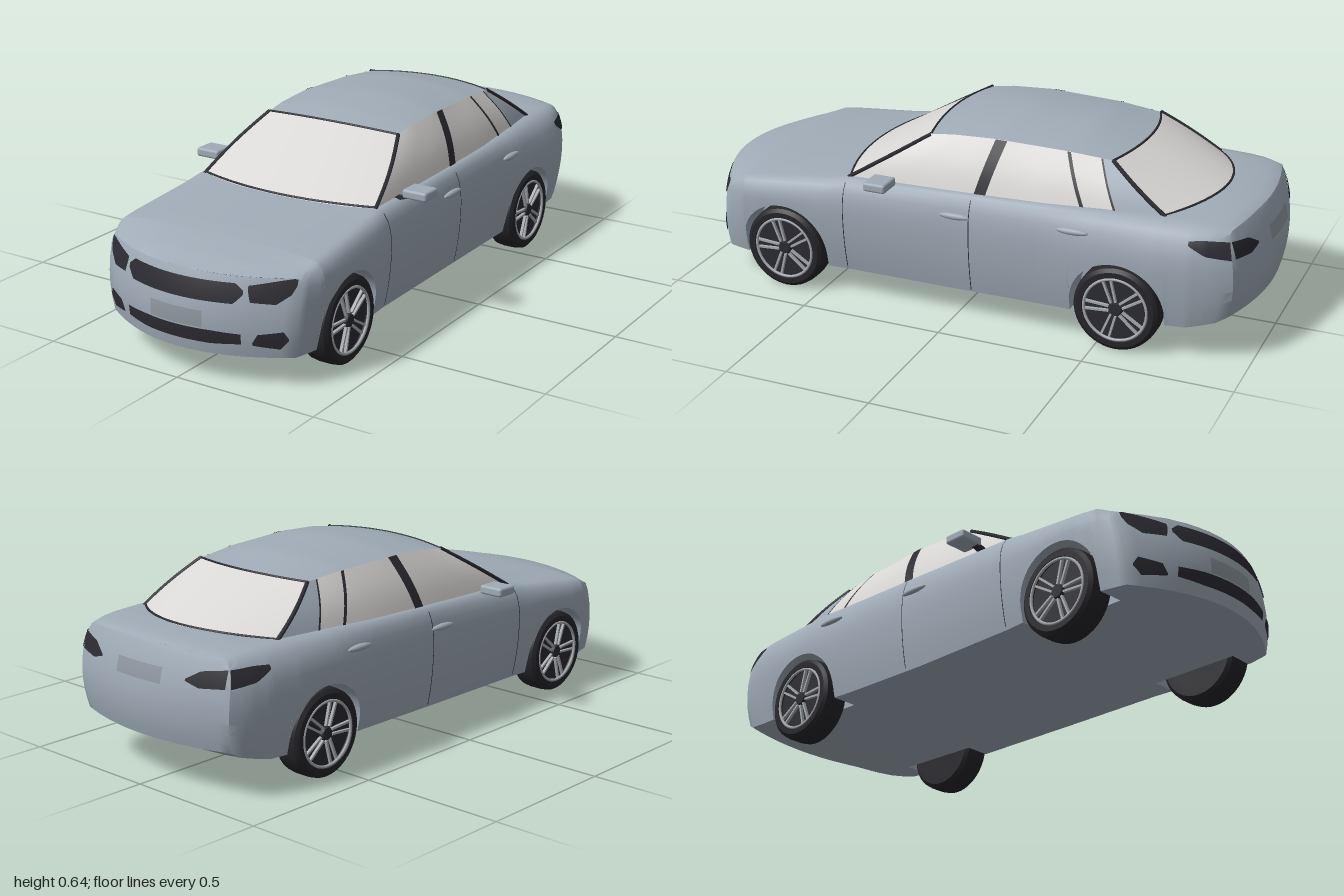
import * as THREE from 'three';
import { mergeGeometries, toCreasedNormals } from 'three/addons/utils/BufferGeometryUtils.js';
import { RoundedBoxGeometry } from 'three/addons/geometries/RoundedBoxGeometry.js';

const mat = (name, color) => {
  const m = new THREE.MeshStandardMaterial({ color, side: THREE.DoubleSide });
  m.name = name;
  return m;
};
const paint = mat('body paint', 0xa0abb7), glass = mat('window glass', 0xd9d7d5);
const dark = mat('dark trim', 0x2b2b32), rubber = mat('tyre rubber', 0x25252a);
const metal = mat('rim metal', 0xa6abb0), plateGrey = mat('plate grey', 0x8f989f);

const lerp = THREE.MathUtils.lerp;
// Linear lookup in rows of [key, ...values], keys rising
function lookup(rows, k) {
  let i = 0;
  while (i < rows.length - 2 && k > rows[i + 1][0]) i++;
  const a = rows[i], b = rows[i + 1];
  const t = THREE.MathUtils.clamp((k - a[0]) / (b[0] - a[0]), 0, 1);
  return a.slice(1).map((v, n) => lerp(v, b[n + 1], t));
}
// Grid surface from fn(i, j) giving a point
function grid(ni, nj, fn) {
  const pos = [], idx = [];
  for (let i = 0; i <= ni; i++) for (let j = 0; j <= nj; j++) pos.push(...fn(i, j));
  for (let i = 0; i < ni; i++) for (let j = 0; j < nj; j++) {
    const a = i * (nj + 1) + j, b = a + nj + 1;
    idx.push(a, a + 1, b, b, a + 1, b + 1);
  }
  const g = new THREE.BufferGeometry();
  g.setAttribute('position', new THREE.Float32BufferAttribute(pos, 3));
  g.setIndex(idx);
  g.computeVertexNormals();
  return g;
}

// Body stations: z, centre top, shoulder x, shoulder y, widest x, sill x, floor y
const stations = [
  [-1, .458, .30, .445, .340, .315, .16], [-.96, .466, .305, .45, .357, .335, .14],
  [-.9, .472, .31, .455, .376, .35, .13], [-.82, .474, .31, .458, .390, .365, .12],
  [-.69, .468, .315, .46, .400, .372, .115], [-.5, .458, .335, .458, .401, .37, .11],
  [-.3, .452, .343, .45, .391, .365, .105], [0, .44, .346, .442, .387, .362, .10],
  [.4, .435, .342, .43, .393, .365, .10], [.47, .432, .345, .418, .397, .37, .10],
  [.72, .410, .355, .392, .403, .372, .10], [.85, .393, .357, .376, .391, .365, .10],
  [.95, .374, .354, .36, .375, .355, .10], [1, .356, .352, .35, .366, .348, .10]];
const WAIST = .32, WELL = .28, ARCH = .16, HUB = .146;
const axles = [.63, -.57];

// Rounds the nose and tail in plan and in profile
function bend(s, x, y) {
  const k = Math.max(0, (Math.abs(s) - .78) / .22);
  const d = s > 0 ? .12 * (x / .35) ** 2 + .03 * ((y - .2) / .15) ** 2
    : .06 * (x / .33) ** 2 + .03 * ((y - .28) / .15) ** 2;
  return [x, y, s - Math.sign(s) * k * d];
}
function sideX(s, y) {
  const [, xS, yS, w, xb] = lookup(stations, s);
  if (y < WAIST) return w - (w - xb) * ((WAIST - y) / .22) ** 2;
  const c = Math.min(1, (y - WAIST) / (yS - WAIST));
  return xS + (w - xS) * Math.sqrt(1 - c * c);
}
// Half cross-section from the top centre to the floor centre
function section(s) {
  const [top, xS, yS, , , floor] = lookup(stations, s);
  let sill = floor;
  for (const z of axles) {
    const d = Math.abs(s - z);
    if (d <= ARCH) sill = HUB + Math.sqrt(ARCH * ARCH - d * d);
  }
  const p = [0, .2, .4, .6, .8, .93, 1].map(t => [xS * t, top + (yS - top) * t ** 2.5]);
  for (const a of [.2, .4, .6, .8, 1]) {
    const y = WAIST + (yS - WAIST) * Math.cos(a * Math.PI / 2);
    p.push([sideX(s, y), y]);
  }
  for (const f of [.2, .4, .6, .8, 1]) {
    const y = lerp(WAIST, sill, f);
    p.push([sideX(s, y), y]);
  }
  p.push([WELL, sill], [WELL, floor], [0, floor]);
  return p;
}
function bodyGeometry() {
  const zs = stations.map(r => r[0]);
  for (let i = 1; i < 40; i++) zs.push(1 - i * .05 + .003);
  for (const z of axles) {
    for (let i = 0; i <= 24; i++) zs.push(z + ARCH * Math.cos(i * Math.PI / 24) * .99999);
    zs.push(z + ARCH * 1.002, z - ARCH * 1.002);
  }
  zs.sort((a, b) => b - a);
  const rings = zs.map(section), n = rings[0].length;
  const shell = grid(zs.length - 1, 2 * n - 2, (i, j) => {
    const [x, y] = rings[i][j < n ? j : 2 * n - 2 - j];
    return bend(zs[i], j < n ? x : -x, y);
  });
  const cap = (s, ring) => grid(n - 1, 20, (i, j) => bend(s, s * ring[i][0] * (1 - j / 10), ring[i][1]));
  const caps = [cap(1, rings[0]), cap(-1, rings[rings.length - 1])];
  return toCreasedNormals(mergeGeometries([shell, ...caps]), .75);
}

// Thin plate on the nose (end 1) or tail (end -1); rows of [x, low y, high y]
function endPlate(end, rows) {
  const x0 = rows[0][0], x1 = rows[rows.length - 1][0];
  return grid(48, 6, (i, j) => {
    const x = lerp(x0, x1, i / 48), [lo, hi] = lookup(rows, x);
    const p = bend(end, x, lerp(lo, hi, j / 6));
    p[2] += end * .004;
    return p;
  });
}
// Thin plate on the flank; rows of [z, low y, high y]
function flankPlate(rows) {
  const z0 = rows[0][0], z1 = rows[rows.length - 1][0];
  return grid(12, 12, (i, j) => {
    const s = lerp(z0, z1, i / 12), [lo, hi] = lookup(rows, s), y = lerp(lo, hi, j / 12);
    const p = bend(s, sideX(s, y), y);
    p[0] += .003;
    return p;
  });
}

// Cabin: belt line and roof rail as z, x, y
const belt = [[-.7, .305, .456], [-.54, .325, .453], [-.3, .34, .447], [0, .343, .438], [.4, .336, .427]];
const rail = [[-.5, .242, .592], [-.35, .254, .605], [-.1, .262, .612], [.05, .26, .604], [.13, .256, .592]];
const crown = [[-.5, .007], [-.35, .026], [-.15, .031], [.0, .025], [.13, .013]];
function pillar(bz, rz, v, out = 0) {
  const [bx, by] = lookup(belt, bz), [rx, ry] = lookup(rail, rz);
  return [lerp(bx, rx, v) + .01 * Math.sin(Math.PI * v) + out, lerp(by, ry, v), lerp(bz, rz, v)];
}
const sidePane = (b0, b1, r0, r1, out) =>
  grid(16, 8, (i, j) => pillar(lerp(b0, b1, i / 16), lerp(r0, r1, i / 16), j / 8, out));
const screenPoint = front => (t, v) => {
  const [x, y, z] = front ? pillar(.4, .13, v) : pillar(-.7, -.5, v), q = 1 - t * t;
  return front ? [x * t, y + lerp(.003, .013, v) * q, z + lerp(.065, .025, v) * q]
    : [x * t, y + lerp(.016, .007, v) * q, z - lerp(.125, .045, v) * q];
};
function trimTube(fn, r) {
  const pts = Array.from({ length: 13 }, (_, i) => new THREE.Vector3(...fn(i / 12)));
  return new THREE.TubeGeometry(new THREE.CatmullRomCurve3(pts), 24, r, 6);
}

function makeWheel() {
  const g = new THREE.Group();
  const add = (geo, m, name) => {
    const o = new THREE.Mesh(geo, m);
    o.name = name;
    g.add(o);
    return o;
  };
  // Axis along y here; the outer face is +y
  const prof = [[0, -.045], [.1, -.05], [.13, -.05], [.142, -.04], [.145, -.02], [.145, .02], [.142, .04], [.13, .05], [.112, .05], [.106, .034]];
  add(toCreasedNormals(new THREE.LatheGeometry(prof.map(p => new THREE.Vector2(...p)), 48), .6), rubber, 'tyre');
  add(new THREE.CylinderGeometry(.108, .108, .01, 40), dark, 'rimDisc').position.y = .03;
  add(new THREE.TorusGeometry(.106, .005, 8, 48).rotateX(Math.PI / 2), metal, 'rimRing').position.y = .046;
  for (let i = 0; i < 5; i++) for (const s of [-1, 1]) {
    const bar = new THREE.BoxGeometry(.007, .012, .082).rotateY(s * .07).translate(s * .011, .039, .064);
    add(bar.rotateY(i * Math.PI * 2 / 5), metal, 'spoke');
  }
  add(new THREE.CylinderGeometry(.02, .024, .014, 20), dark, 'hubCap').position.y = .04;
  return g;
}

export function createModel() {
  const car = new THREE.Group();
  car.name = 'sedan';
  const add = (name, geo, m) => {
    const o = new THREE.Mesh(geo, m);
    o.name = name;
    car.add(o);
  };
  const pair = (name, geo, m) => {
    add(name + 'Left', geo, m);
    const g = geo.clone().scale(-1, 1, 1), ix = g.index;
    // Restore winding after mirroring
    if (ix) for (let i = 0; i < ix.count; i += 3) {
      const a = ix.getX(i);
      ix.setX(i, ix.getX(i + 1));
      ix.setX(i + 1, a);
    }
    add(name + 'Right', g, m);
  };
  add('body', bodyGeometry(), paint);

  // Cabin
  add('roof', grid(24, 20, (i, j) => {
    const u = i / 24, z = lerp(.13, -.5, u), t = j / 10 - 1, q = 1 - t * t;
    const [x, y] = lookup(rail, z);
    return [x * t, y + lookup(crown, z)[0] * q, z + lerp(.025, -.045, u) * q];
  }), paint);
  for (const front of [true, false]) {
    const p = screenPoint(front), name = front ? 'windshield' : 'rearWindow';
    add(name, grid(20, 10, (i, j) => p(i / 10 - 1, j / 10)), glass);
    add(name + 'TopTrim', trimTube(u => p(u * 2 - 1, 1), .004), dark);
    add(name + 'BaseTrim', trimTube(u => p(u * 2 - 1, .03), .004), dark);
    pair(name + 'SideTrim', trimTube(u => p(1, u), .007), dark);
  }
  pair('sideGlass', sidePane(.4, -.54, .13, -.465, 0), glass);
  pair('rearPillar', sidePane(-.54, -.7, -.465, -.5, 0), paint);
  pair('centrePillar', sidePane(-.06, -.1, -.105, -.145, .003), dark);
  pair('quarterPillar', sidePane(-.425, -.438, -.35, -.362, .003), dark);
  pair('quarterTrim', sidePane(-.535, -.543, -.462, -.468, .003), dark);

  // Nose and tail details
  add('grille', endPlate(1, [[-.215, .3, .312], [-.19, .272, .333], [.19, .272, .333], [.215, .3, .312]]), dark);
  add('lowerGrille', endPlate(1, [[-.213, .145, .178], [-.12, .138, .182], [.12, .138, .182], [.213, .145, .178]]), dark);
  pair('headlight', endPlate(1, [[.227, .316, .328], [.237, .279, .33], [.307, .275, .344], [.343, .304, .35], [.353, .33, .348]]), dark);
  pair('fogLight', endPlate(1, [[.244, .143, .15], [.26, .14, .179], [.317, .132, .188], [.328, .146, .19], [.34, .16, .168]]), dark);
  add('frontPlate', endPlate(1, [[-.097, .187, .24], [.097, .187, .24]]), plateGrey);
  add('rearPlate', endPlate(-1, [[-.1, .345, .395], [.1, .345, .395]]), plateGrey);
  pair('tailLight', endPlate(-1, [[.19, .37, .376], [.24, .355, .405], [.325, .362, .418]]), dark);
  pair('tailLightSide', flankPlate([[-1, .362, .418], [-.9, .375, .422], [-.81, .405, .418]]), dark);

  // Flank details
  pair('frontDoorSeam', flankPlate([[.395, .11, .42], [.398, .11, .42]]), dark);
  pair('rearDoorSeam', flankPlate([[-.062, .11, .43], [-.059, .11, .43]]), dark);
  for (const [z, y] of [[-.01, .372], [-.42, .392]]) {
    const x = sideX(z, y);
    pair('doorHandle', new THREE.SphereGeometry(1, 20, 10).scale(.012, .011, .055).translate(x + .002, y, z), paint);
  }
  pair('mirror', new RoundedBoxGeometry(.09, .031, .08, 3, .009).translate(.41, .453, .248), paint);
  pair('mirrorArm', new THREE.BoxGeometry(.06, .012, .025).rotateZ(.3).translate(.357, .436, .27), dark);

  // Wheels
  for (const z of axles) for (const s of [1, -1]) {
    const w = makeWheel();
    w.name = (z > 0 ? 'front' : 'rear') + 'Wheel' + (s > 0 ? 'Left' : 'Right');
    w.rotation.z = -s * Math.PI / 2;
    w.position.set(s * .345, HUB, z);
    car.add(w);
  }
  return car;
}
